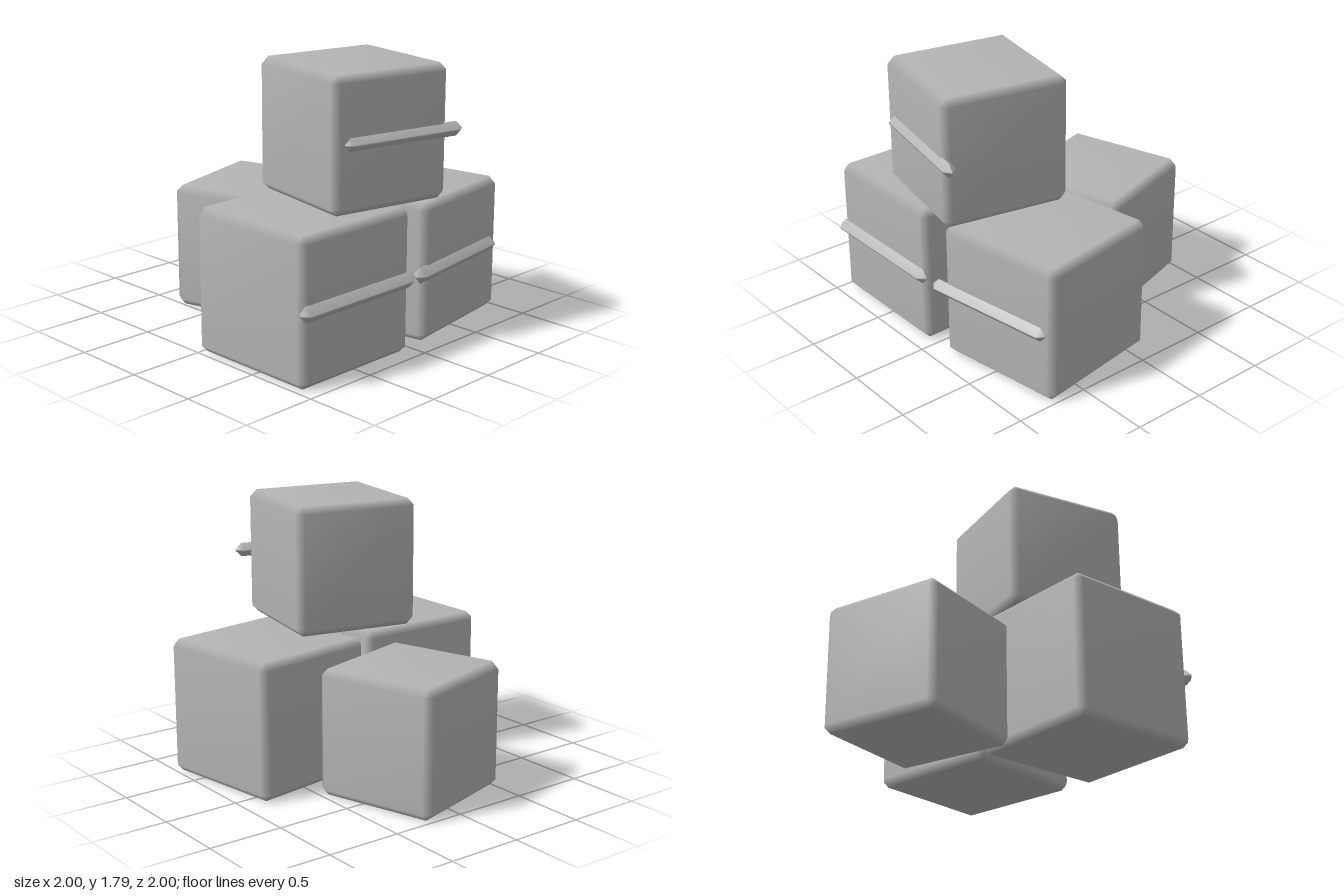
import * as THREE from 'three';
import { mergeVertices } from 'three/addons/utils/BufferGeometryUtils.js';
import { ConvexGeometry } from 'three/addons/geometries/ConvexGeometry.js';

// Box with a single chamfer on every edge and smooth normals
function chamferBox(w, h, d, c) {
  const points = [];
  for (const sx of [-1, 1]) for (const sy of [-1, 1]) for (const sz of [-1, 1]) {
    const [x, y, z] = [w / 2, h / 2, d / 2];
    points.push(
      new THREE.Vector3(sx * x, sy * (y - c), sz * (z - c)),
      new THREE.Vector3(sx * (x - c), sy * y, sz * (z - c)),
      new THREE.Vector3(sx * (x - c), sy * (y - c), sz * z),
    );
  }
  const hull = new ConvexGeometry(points);
  hull.deleteAttribute('normal');
  const smooth = mergeVertices(hull, 1e-4);
  smooth.computeVertexNormals();
  return smooth;
}

export function createModel() {
  const model = new THREE.Group();
  model.name = 'crateStack';
  const grey = new THREE.MeshStandardMaterial({ color: 0xb4b4b4 });
  grey.name = 'plain grey';

  // name, size, centre x, base y, centre z, turn in degrees
  const crates = [
    ['leftCrate', 0.94, -0.515, 0, 0.447, 0],
    ['rightCrate', 0.91, 0.485, 0, 0.375, 8.7],
    ['backCrate', 0.84, -0.017, 0, -0.488, 16.6],
    ['topCrate', 0.85, -0.09, 0.945, 0.45, -11.5],
  ];

  for (const [name, s, x, y, z, deg] of crates) {
    const crate = new THREE.Group();
    crate.name = name;
    const turn = THREE.MathUtils.degToRad(deg);

    const body = new THREE.Mesh(chamferBox(s, s, s, 0.047), grey);
    body.name = name + 'Body';
    body.position.set(x, y + s / 2, z);
    body.rotation.y = turn;

    // Band lies straight in front of the crate's centre, turned with it
    const t = s * 0.107;
    const band = new THREE.Mesh(chamferBox(s * 1.03, t, t, t * 0.45), grey);
    band.name = name + 'Band';
    band.position.set(x, y + s / 2 + 0.01, z + s / 2);
    band.rotation.y = turn;

    crate.add(body, band);
    model.add(crate);
  }
  return model;
}
